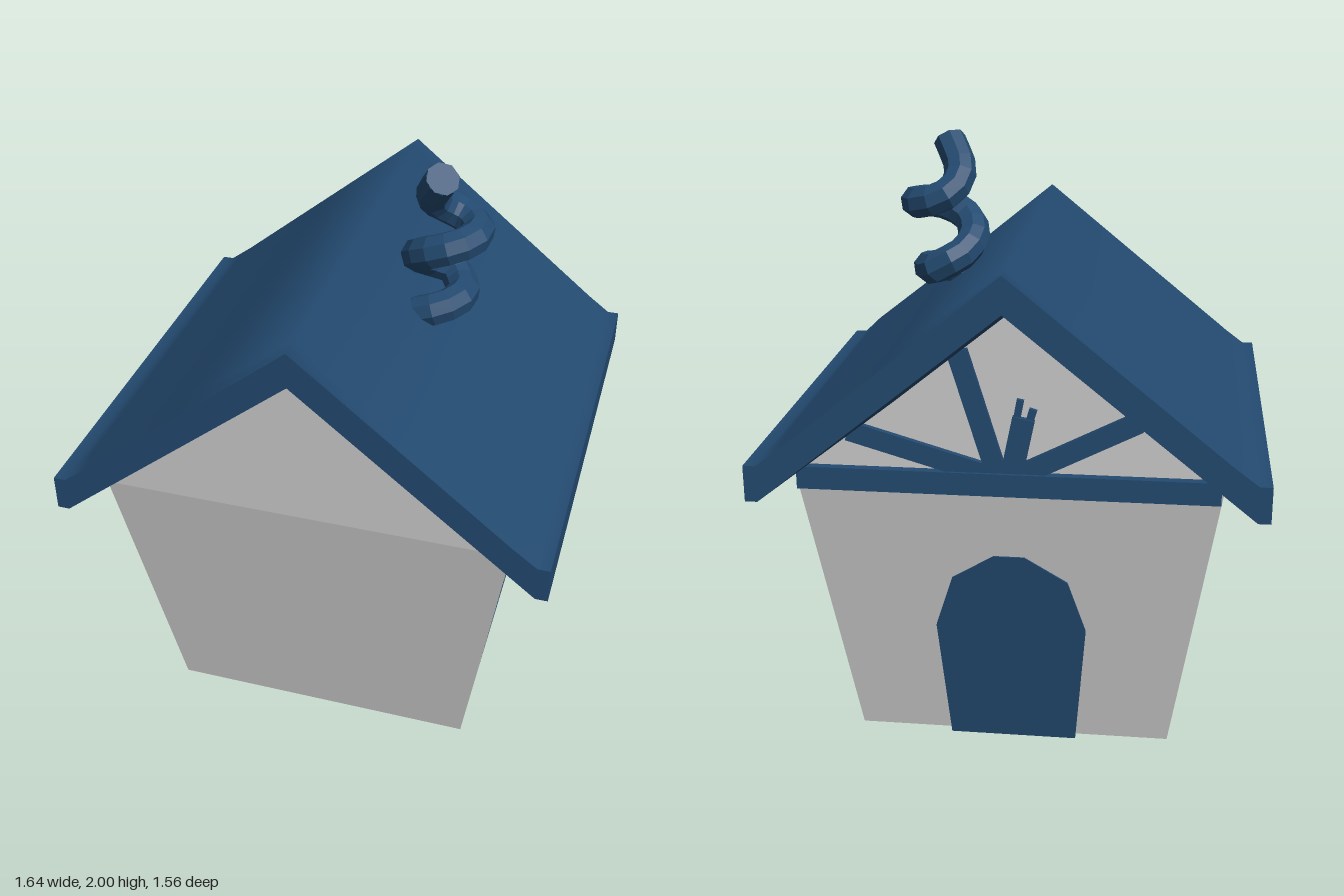
import * as THREE from 'three';
import { toCreasedNormals } from 'three/addons/utils/BufferGeometryUtils.js';

const BLUE = 0x234a70;
const wallMat = new THREE.MeshStandardMaterial({ color: 0xcccccc, side: THREE.DoubleSide, flatShading: true });
const trimMat = new THREE.MeshStandardMaterial({ color: BLUE, flatShading: true });
const roofMat = new THREE.MeshStandardMaterial({ color: BLUE });

const BASE = 0.53, TOP = 0.68, FLOOR = 0.01, EAVE = 1.0, APEX = 1.545;
const TILT = Math.atan2(TOP - BASE, EAVE - FLOOR);
const SLOPE = Math.hypot(TOP - BASE, EAVE - FLOOR);

const poly = (pts) => new THREE.Shape(pts.map(([x, y]) => new THREE.Vector2(x, y)));
const wallShape = () => poly([[-BASE, 0], [BASE, 0], [TOP, SLOPE], [-TOP, SLOPE]]);

function part(name, geometry, material, parent) {
  const mesh = new THREE.Mesh(geometry, material);
  mesh.name = name;
  parent.add(mesh);
  return mesh;
}

// Group on a wall: local z points out, local y runs up its slope
function wallFrame(name, angle, tilt, out, y, parent) {
  const g = new THREE.Group();
  g.name = name;
  g.rotation.order = 'YXZ';
  g.rotation.set(tilt, angle, 0);
  g.position.set(Math.sin(angle) * out, y, Math.cos(angle) * out);
  parent.add(g);
  return g;
}

// Tapered window set flush into its wall, with four panes backed by a recessed panel
function addWindow(wall, shape, cx) {
  const outline = [[cx - 0.355, 0.172], [cx + 0.355, 0.172], [cx + 0.398, 0.615], [cx - 0.398, 0.615]];
  shape.holes.push(poly(outline));
  const frame = poly(outline);
  const half = (v) => 0.295 + (v - 0.205) * 0.09;
  for (const s of [-1, 1]) {
    for (const [lo, hi] of [[0.205, 0.385], [0.42, 0.575]]) {
      frame.holes.push(poly([
        [cx + s * 0.02, lo], [cx + s * half(lo), lo], [cx + s * half(hi), hi], [cx + s * 0.02, hi],
      ]));
    }
  }
  const geo = new THREE.ExtrudeGeometry(frame, { depth: 0.045, bevelEnabled: false });
  part('windowFrame', geo.translate(0, 0, -0.045), trimMat, wall);
  part('windowPanes', new THREE.ShapeGeometry(poly(outline)).translate(0, 0, -0.047), wallMat, wall);
}

function addWalls(house) {
  for (const s of [1, -1]) {
    // Side walls with windows
    const side = wallFrame(s > 0 ? 'leftSide' : 'rightSide', s * Math.PI / 2, TILT, BASE, FLOOR, house);
    const shape = wallShape();
    addWindow(side, shape, -s * 0.012);
    part('sideWall', new THREE.ShapeGeometry(shape), wallMat, side);

    // End walls lean out; the gables above stand upright
    const angle = s > 0 ? 0 : Math.PI;
    const end = wallFrame(s > 0 ? 'frontEnd' : 'backEnd', angle, TILT, BASE, FLOOR, house);
    part('endWall', new THREE.ShapeGeometry(wallShape()), wallMat, end);
    const gable = wallFrame(s > 0 ? 'frontGable' : 'backGable', angle, 0, TOP, 0, house);
    const triangle = poly([[-TOP, EAVE], [TOP, EAVE], [0, APEX]]);
    part('gableWall', new THREE.ShapeGeometry(triangle), wallMat, gable);
    if (s < 0) addTimbers(gable);
  }
}

// Pointed arch door on the back wall
function addDoor(house) {
  const g = wallFrame('door', Math.PI, Math.atan(0.135), 0.545, 0, house);
  const shape = poly([[-0.215, 0], [0.215, 0], [0.25, 0.45], [0.19, 0.64], [0.05, 0.73], [-0.05, 0.73], [-0.19, 0.64], [-0.25, 0.45]]);
  const geo = new THREE.ExtrudeGeometry(shape, { depth: 0.05, bevelEnabled: false });
  part('doorPanel', geo.translate(0, 0, -0.05), trimMat, g);
}

// Timber fan lying on the back gable
function addTimbers(gable) {
  const g = new THREE.Group();
  g.name = 'gableTimbers';
  gable.add(g);
  const beam = (name, [x1, y1], [x2, y2], width, depth = 0.03) => {
    const m = part(name, new THREE.BoxGeometry(width, Math.hypot(x2 - x1, y2 - y1), depth), trimMat, g);
    m.position.set((x1 + x2) / 2, (y1 + y2) / 2, depth / 2 - 0.01);
    m.rotation.z = -Math.atan2(x2 - x1, y2 - y1);
  };
  beam('tieBeam', [-0.67, 1.0], [0.67, 1.0], 0.075, 0.04);
  beam('highStrut', [-0.02, 1.0], [-0.15, 1.43], 0.065);
  beam('lowStrut', [-0.02, 1.02], [-0.5, 1.16], 0.065);
  beam('lowStrut', [0.02, 1.02], [0.41, 1.22], 0.065);
  // Broken strut with splinters
  beam('brokenStrut', [0.01, 1.0], [0.055, 1.22], 0.07);
  beam('splinter', [0.03, 1.2], [0.045, 1.28], 0.022, 0.025);
  beam('splinter', [0.07, 1.2], [0.085, 1.25], 0.025, 0.025);
}

// Thick gabled roof with a vertical eave lip, swelling a little between its ends
function addRoof(house) {
  const right = [[0.35, 1.405], [0.7, 1.12], [0.78, 1.06], [0.82, 1.06], [0.82, 0.94], [0.78, 0.94], [0.35, 1.287]];
  const left = right.map(([x, y]) => [-x, y]).reverse();
  const profile = poly([[0, 1.69], ...right, [0, 1.57], ...left]);
  const geo = toCreasedNormals(
    new THREE.ExtrudeGeometry(profile, { depth: 3, steps: 3, bevelEnabled: false }), 1.38);
  const rings = [-0.78, -0.7, 0.7, 0.78];
  const pos = geo.attributes.position;
  for (let i = 0; i < pos.count; i++) {
    const ring = Math.round(pos.getZ(i));
    const x = Math.abs(pos.getX(i)), y = pos.getY(i);
    if ((ring === 1 || ring === 2) && x < 0.75) {
      pos.setY(i, y > 1.63 - 0.81 * x ? y + 0.03 * x : y - 0.025);
    }
    pos.setZ(i, rings[ring]);
  }
  part('roof', geo, roofMat, house);
}

// Curl of smoke rising from the roof, its loops dipping towards the back
function addSmoke(house) {
  const g = new THREE.Group();
  g.name = 'smokeCurl';
  house.add(g);
  const pts = [];
  for (let q = -2; q <= 14; q++) {
    const a = q * Math.PI / 4;
    const r = q < 11 ? 0.1 : 0.1 - (q - 10) * 0.011;
    const cx = q < 4 ? 0.26 : 0.3;
    const dip = 0.028 * (1 - Math.cos(a));
    pts.push(new THREE.Vector3(cx + r * Math.sin(a), 1.495 + 0.23 * q / 8 - dip, 0.015 + r * Math.cos(a)));
  }
  pts.push(new THREE.Vector3(0.292, 1.96, 0.085));
  const curve = new THREE.CatmullRomCurve3(pts);
  part('smokeTube', new THREE.TubeGeometry(curve, 28, 0.056, 8), trimMat, g);
  for (const [t, dir] of [[0, -1], [1, 1]]) {
    const cap = part('smokeEnd', new THREE.CircleGeometry(0.056, 8), trimMat, g);
    const p = curve.getPointAt(t);
    cap.position.copy(p);
    cap.lookAt(p.clone().addScaledVector(curve.getTangentAt(t), dir));
  }
}

export function createModel() {
  const house = new THREE.Group();
  house.name = 'house';
  addWalls(house);
  addDoor(house);
  addRoof(house);
  addSmoke(house);
  return house;
}
